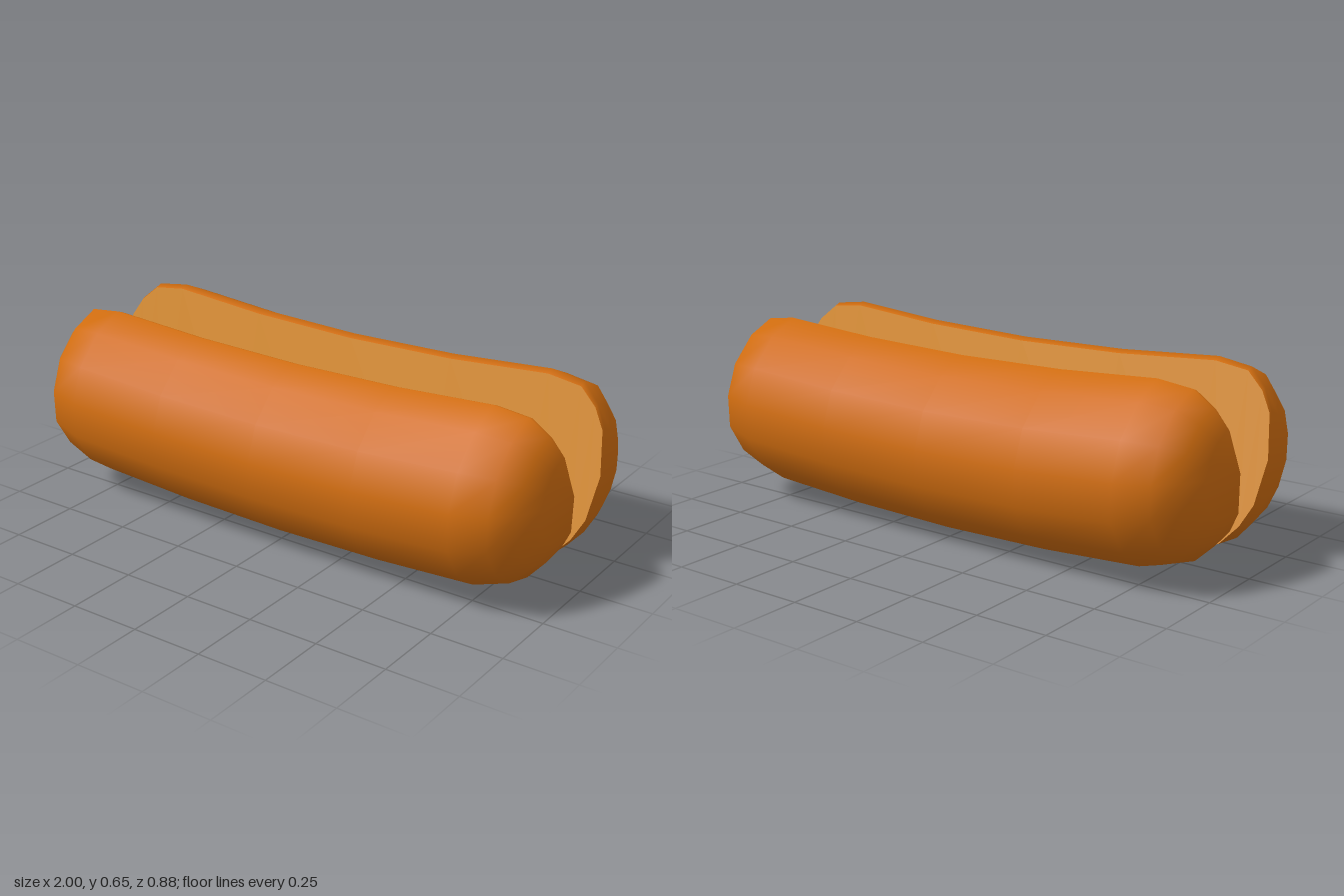
import * as THREE from 'three';
import { mergeVertices } from 'three/addons/utils/BufferGeometryUtils.js';

// Half-round cross-section as [z, y], from the upper lip around the outside to the hinge
const SECTION = [
  [0.165, 0.64], [0.19, 0.65], [0.3, 0.6], [0.395, 0.5], [0.44, 0.38],
  [0.437, 0.255], [0.37, 0.143], [0.27, 0.07], [0.138, 0.035], [0, 0.05],
];
const CENTRE = [0.0825, 0.345]; // middle of the cut face

// Lengthwise stations as [x, scale], mirrored for the other end
const END = [[0.4, 1], [0.76, 1], [0.88, 0.91], [0.94, 0.71], [0.978, 0.48], [1, 0]];
const STATIONS = [...END.map(([x, s]) => [-x, s]).reverse(), [0, 1], ...END];

// Skin a list of section points along all stations
function loft(points, flip) {
  const positions = [], index = [], n = points.length;
  STATIONS.forEach(([x, s], i) => {
    const bend = 0.035 * ((x / 0.76) ** 2 - 1); // ends curve up along the cut face
    for (const [z, y] of points) {
      positions.push(
        x,
        CENTRE[1] + (y - CENTRE[1]) * s + bend * 0.963,
        CENTRE[0] + (z - CENTRE[0]) * s + bend * 0.27,
      );
    }
    if (i === 0) return;
    for (let j = 0; j < n - 1; j++) {
      const a = (i - 1) * n + j, b = a + n;
      const tris = [[a, a + 1, b], [b, a + 1, b + 1]];
      for (const [p, q, r] of tris) index.push(p, flip ? r : q, flip ? q : r);
    }
  });
  const geometry = new THREE.BufferGeometry();
  geometry.setAttribute('position', new THREE.Float32BufferAttribute(positions, 3));
  geometry.setIndex(index);
  const merged = mergeVertices(geometry); // joins the tip points
  merged.computeVertexNormals();
  return merged;
}

export function createModel() {
  const crust = new THREE.MeshStandardMaterial({ name: 'crust', color: 0xcf6c0f });
  const crumb = new THREE.MeshStandardMaterial({ name: 'crumb', color: 0xd58a2f });

  const crustGeometry = loft(SECTION, false);
  const faceGeometry = loft([SECTION[0], SECTION[SECTION.length - 1]], true);

  const bun = new THREE.Group();
  bun.name = 'bun';

  // Two identical halves, opened in a V
  ['frontHalf', 'backHalf'].forEach((name, i) => {
    const half = new THREE.Group();
    half.name = name;
    const shell = new THREE.Mesh(crustGeometry, crust);
    shell.name = 'crustShell';
    const face = new THREE.Mesh(faceGeometry, crumb);
    face.name = 'cutFace';
    half.add(shell, face);
    half.rotation.y = i * Math.PI;
    bun.add(half);
  });

  return bun;
}
